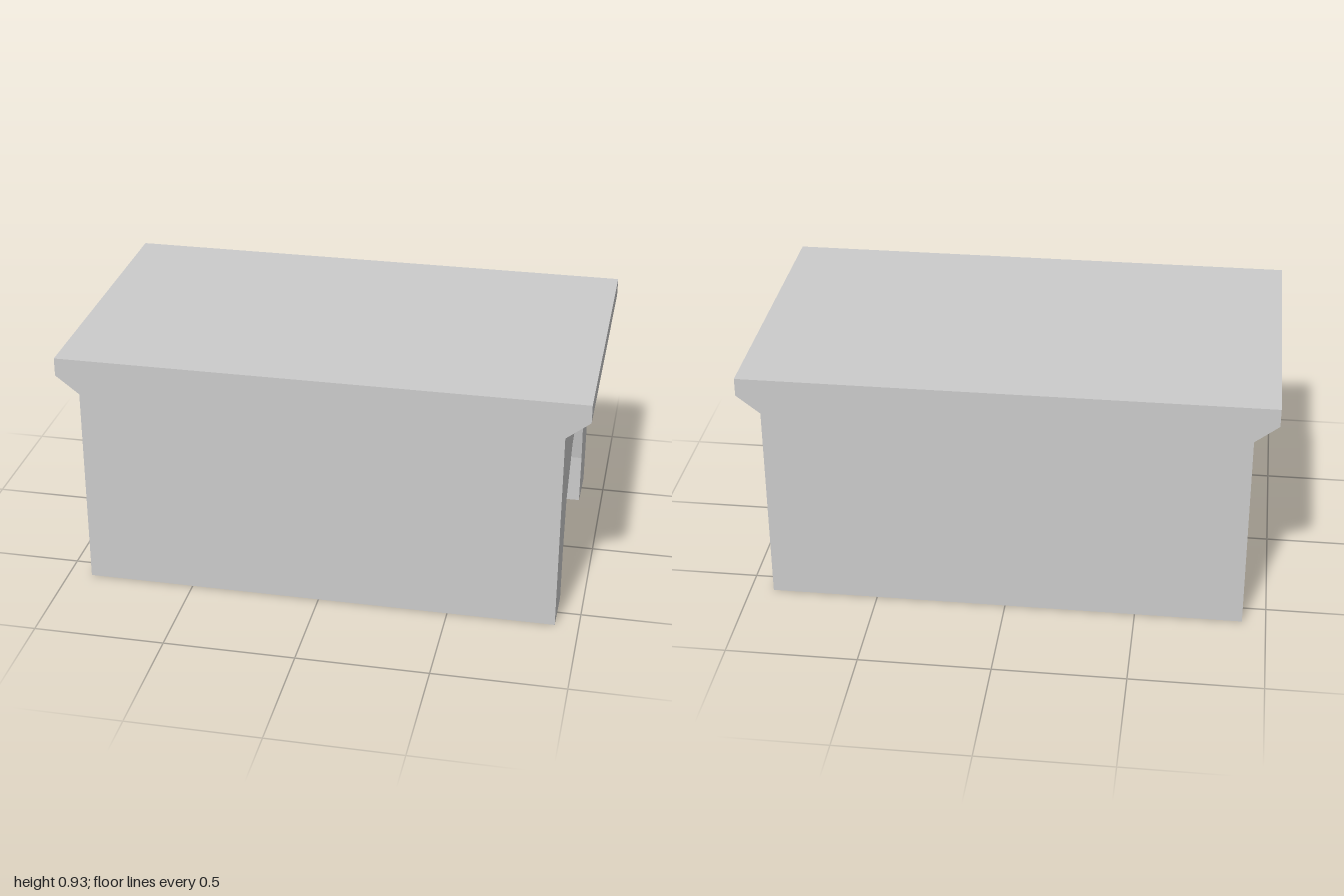
import * as THREE from 'three';

const DEPTH = 0.59, WALL = 0.91, RECESS = 0.85;

// Right half of an arch, from the ground up to the crown: [z, y]
const ARCH = [[0.39, 0], [0.39, 0.2], [0.355, 0.41], [0.205, 0.57], [0, 0.617]];

// Full arch outline, optionally widened and raised
function archPoints(sz = 1, sy = 1) {
  const half = ARCH.map(([z, y]) => new THREE.Vector2(z * sz, y * sy));
  const mirrored = half.slice(0, -1).reverse().map(p => new THREE.Vector2(-p.x, p.y));
  return [...half, ...mirrored];
}

export function createModel() {
  const group = new THREE.Group();
  const flat = new THREE.MeshStandardMaterial({ color: 0xcccccc, flatShading: true, side: THREE.DoubleSide });
  const smooth = new THREE.MeshStandardMaterial({ color: 0xcccccc });

  const add = (name, geometry, material = flat) => {
    const mesh = new THREE.Mesh(geometry, material);
    mesh.name = name;
    group.add(mesh);
    return mesh;
  };

  // Turns a shape drawn in (z, y) to face +x at the given x
  const faceRight = (geometry, x) => geometry.rotateY(Math.PI / 2).translate(x, 0, 0);

  // Flat panel spanning the full depth between two profile points
  const panel = ([x0, y0], [x1, y1]) => {
    const g = new THREE.PlaneGeometry(2 * DEPTH, Math.hypot(x1 - x0, y1 - y0));
    g.rotateY(Math.PI / 2);
    g.rotateZ(Math.atan2(y1 - y0, x1 - x0) - Math.PI / 2);
    return g.translate((x0 + x1) / 2, (y0 + y1) / 2, 0);
  };

  // Front and back walls, following the flared eaves
  const side = [[WALL, 0], [WALL, 0.79], [1, 0.86], [1, 0.93]];
  const outline = [...side, ...side.map(([x, y]) => [-x, y]).reverse()];
  const wallShape = new THREE.Shape(outline.map(([x, y]) => new THREE.Vector2(x, y)));
  add('frontWall', new THREE.ShapeGeometry(wallShape).translate(0, 0, DEPTH));
  add('backWall', new THREE.ShapeGeometry(wallShape).rotateY(Math.PI).translate(0, 0, -DEPTH));

  // Eaves, roof and plain end wall; the underside stays open
  const names = ['leftEaveSlope', 'leftFascia', 'roof', 'rightFascia', 'rightEaveSlope', 'rightWall'];
  names.forEach((name, i) => add(name, panel(outline[i + 1], outline[i + 2])));

  // End wall with the arched doorway cut out
  const doorWall = new THREE.Shape([
    new THREE.Vector2(-DEPTH, 0),
    ...archPoints().reverse(),
    new THREE.Vector2(DEPTH, 0),
    new THREE.Vector2(DEPTH, 0.79),
    new THREE.Vector2(-DEPTH, 0.79),
  ]);
  add('doorwayWall', faceRight(new THREE.ShapeGeometry(doorWall), WALL));

  // Arched frame behind the wall, giving the doorway its depth
  const frame = new THREE.Shape([...archPoints(0.48 / 0.39, 1.14), ...archPoints().reverse()]);
  add('doorFrame', faceRight(
    new THREE.ExtrudeGeometry(frame, { depth: WALL - RECESS - 0.001, bevelEnabled: false }), RECESS));

  // Recessed door
  add('door', faceRight(new THREE.ShapeGeometry(new THREE.Shape(archPoints())), RECESS));

  // Rounded ornament tucked under the eave, poles along z
  const boss = new THREE.SphereGeometry(1, 8, 4)
    .rotateX(Math.PI / 2)
    .rotateZ(THREE.MathUtils.degToRad(14))
    .scale(0.107, 0.107, 0.2)
    .translate(0.888, 0.79, 0);
  add('ornament', boss, smooth);

  return group;
}
